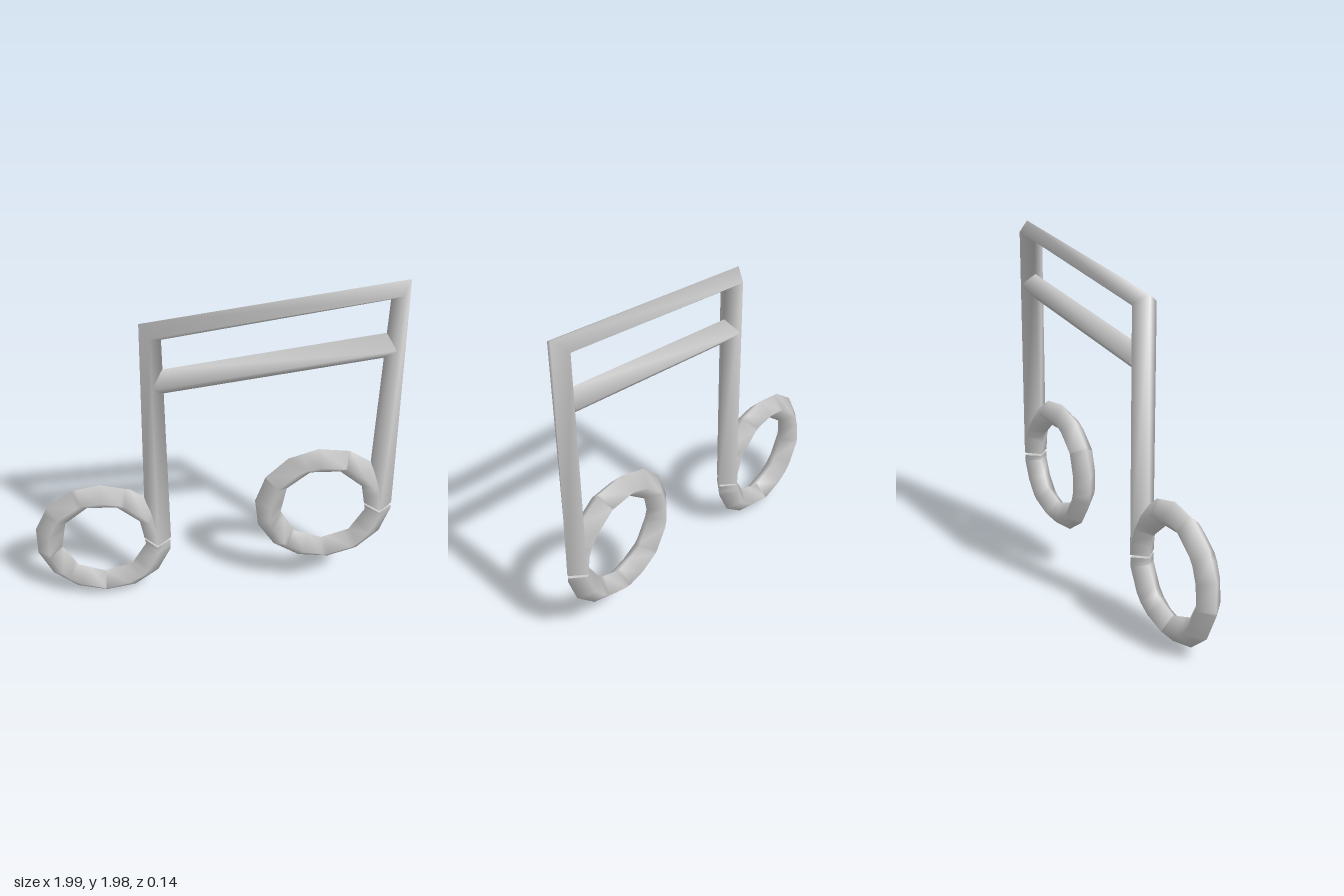
import * as THREE from 'three';

const R = 0.072; // half thickness of the four-sided bar

// Sweep a diamond section through [outer, inner] point pairs; outer lies left of travel.
function diamondBar(pairs) {
  const pos = [], index = [];
  const section = ([o, i]) => {
    const mx = (o.x + i.x) / 2, my = (o.y + i.y) / 2;
    return [o.x, o.y, 0, mx, my, R, i.x, i.y, 0, mx, my, -R];
  };
  pairs.forEach((p) => pos.push(...section(p)));
  for (let s = 0; s < pairs.length - 1; s++) {
    for (let k = 0; k < 4; k++) {
      const a = s * 4 + k, b = s * 4 + (k + 1) % 4;
      index.push(a, b, b + 4, a, b + 4, a + 4);
    }
  }
  // End caps with their own corners
  const c = pos.length / 3;
  pos.push(...section(pairs[0]), ...section(pairs[pairs.length - 1]));
  index.push(c, c + 2, c + 1, c, c + 3, c + 2, c + 4, c + 5, c + 6, c + 4, c + 6, c + 7);
  const geo = new THREE.BufferGeometry();
  geo.setAttribute('position', new THREE.Float32BufferAttribute(pos, 3));
  geo.setIndex(index);
  geo.computeVertexNormals();
  return geo;
}

// Bar along a polyline, its sections set on the corner bisectors.
function pathBar(points) {
  const p = points.map(([x, y]) => new THREE.Vector2(x, y));
  return diamondBar(p.map((q, i) => {
    const t = new THREE.Vector2();
    if (i > 0) t.add(q.clone().sub(p[i - 1]).normalize());
    if (i < p.length - 1) t.add(p[i + 1].clone().sub(q).normalize());
    const n = new THREE.Vector2(-t.y, t.x).normalize().multiplyScalar(R);
    return [q.clone().add(n), q.clone().sub(n)];
  }));
}

// Radius of a regular n-gon, in degrees, with one corner at the given phase.
function polygonRadius(r, n, angle, phase) {
  const step = 360 / n;
  const d = (((angle - phase) % step) + step) % step - step / 2;
  return r * Math.cos(Math.PI / n) / Math.cos(THREE.MathUtils.degToRad(d));
}

// Note head: a nearly closed ring, 14-sided outside and 9-sided inside.
function noteRing(cx, cy, phase) {
  const angles = [-3, -360];
  for (const [n, start] of [[14, phase], [9, 270]]) {
    for (let k = 0; k < n; k++) {
      const a = -((((-(start + k * 360 / n)) % 360) + 360) % 360);
      if (a < -4 && a > -359) angles.push(a);
    }
  }
  angles.sort((a, b) => b - a);
  return diamondBar(angles.map((a) => {
    const rad = THREE.MathUtils.degToRad(a);
    const at = (r) => new THREE.Vector2(cx + r * Math.cos(rad), cy + r * Math.sin(rad));
    return [at(polygonRadius(0.384, 14, a, phase)), at(polygonRadius(0.24, 9, a, 270))];
  }));
}

export function createModel() {
  const group = new THREE.Group();
  const grey = new THREE.MeshStandardMaterial({ color: 0xcccccc });
  grey.name = 'light grey';
  const add = (name, geo) => {
    const mesh = new THREE.Mesh(geo, grey);
    mesh.name = name;
    group.add(mesh);
  };

  // Both stems and the top beam are one bent bar
  add('stemsAndTopBeam', pathBar([[-0.31, 0.387], [-0.315, 1.725], [0.925, 1.932], [0.925, 0.595]]));
  add('lowerBeam', pathBar([[-0.3, 1.425], [0.915, 1.622]]));
  add('rightRing', noteRing(-0.617, 0.39, 270));
  add('leftRing', noteRing(0.615, 0.595, 277));
  return group;
}
